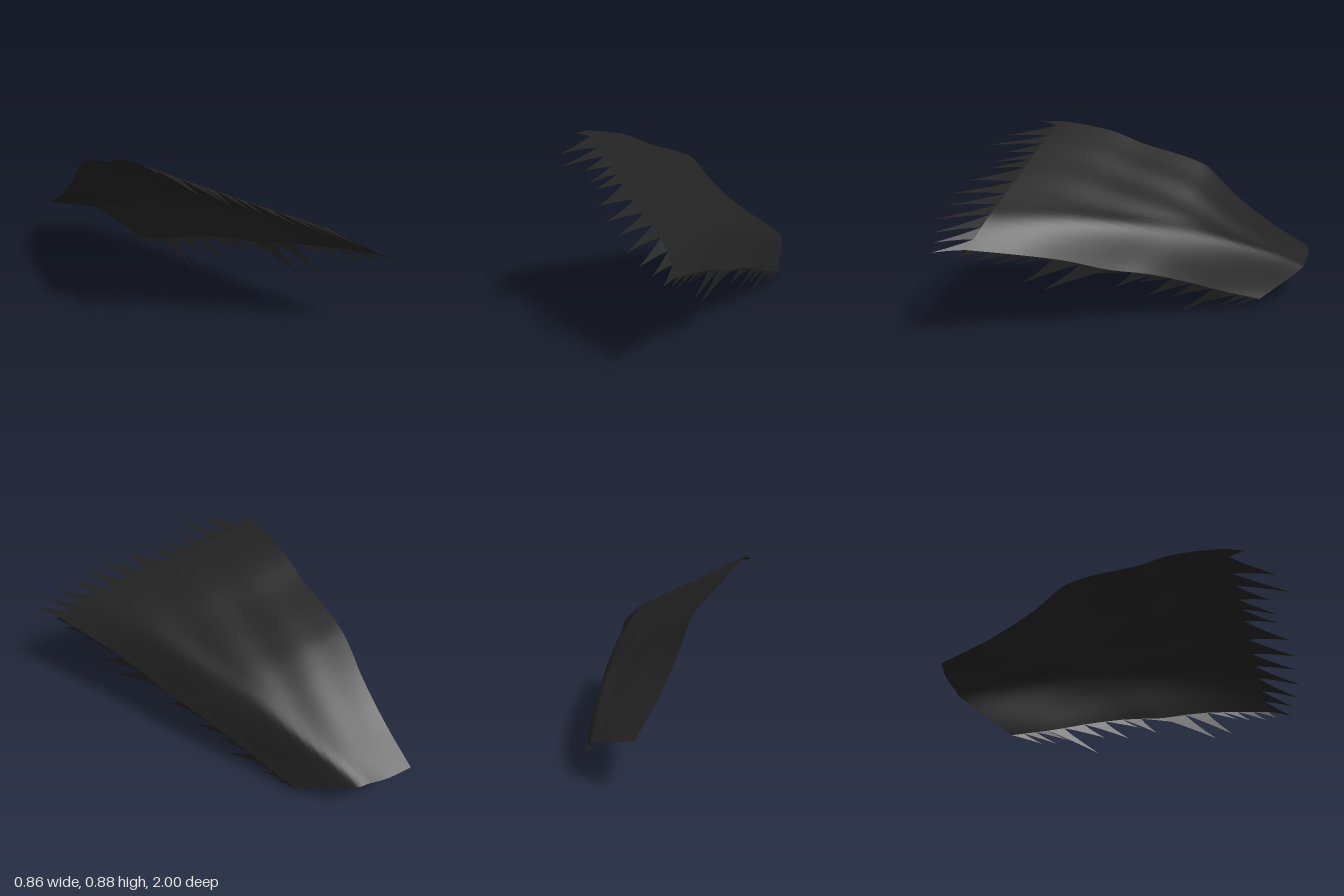
import * as THREE from 'three';

const curve = (pts) => new THREE.CatmullRomCurve3(pts.map((p) => new THREE.Vector3(...p)), false, 'centripetal');

// Lengthwise guide lines of the cloth, from the narrow end to the torn end
const upperHem = curve([[-0.12, 0.21, -1], [-0.168, 0.342, -0.797], [-0.212, 0.495, -0.613], [-0.231, 0.575, -0.54],
  [-0.245, 0.642, -0.47], [-0.275, 0.695, -0.35], [-0.32, 0.757, -0.155], [-0.36, 0.823, 0],
  [-0.40, 0.865, 0.18], [-0.42, 0.878, 0.27]]);
const fold = curve([[0.1, 0.16, -0.88], [0.13, 0.245, -0.7], [0.173, 0.342, -0.4], [0.22, 0.44, 0],
  [0.25, 0.495, 0.35], [0.28, 0.535, 0.74]]);
const lowerHem = curve([[0.21, 0.04, -0.6], [0.235, 0.1, -0.4], [0.265, 0.17, -0.2], [0.295, 0.23, 0],
  [0.315, 0.27, 0.2], [0.335, 0.33, 0.4], [0.37, 0.38, 0.62], [0.405, 0.425, 0.85]]);

// Cross-section of the cloth at t along its length
function section(t) {
  const a = upperHem.getPointAt(t), f = fold.getPointAt(t), d = lowerHem.getPointAt(t);
  const mid = a.clone().lerp(f, 0.5);
  mid.z -= 0.012 * (1 - t);
  const nearFold = a.clone().lerp(f, 0.85);
  return new THREE.CatmullRomCurve3([a, mid, nearFold, f, d], false, 'centripetal');
}

// Point of an edge where the given axis reaches a value, found by halving
function edgeAt(edge, axis, value) {
  let lo = 0, hi = 1;
  for (let i = 0; i < 24; i++) {
    const m = (lo + hi) / 2;
    if (edge.getPoint(m)[axis] < value) lo = m; else hi = m;
  }
  return edge.getPoint(lo);
}

function sheet(rows, material) {
  const w = rows[0].length, pos = [], index = [];
  rows.forEach((row) => row.forEach((p) => pos.push(p.x, p.y, p.z)));
  for (let i = 0; i < rows.length - 1; i++) {
    for (let j = 0; j < w - 1; j++) {
      const k = i * w + j;
      index.push(k, k + w, k + 1, k + 1, k + w, k + w + 1);
    }
  }
  const g = new THREE.BufferGeometry();
  g.setAttribute('position', new THREE.Float32BufferAttribute(pos, 3));
  g.setIndex(index);
  g.computeVertexNormals();
  return new THREE.Mesh(g, material);
}

// Tapering shred from edge points a, b to a tip, pinched towards the point
function shred(a, b, tip, material) {
  const base = a.clone().lerp(b, 0.5);
  const rows = [[0, 1], [0.3, 0.6], [0.65, 0.27], [1, 0.015]].map(([k, width]) => {
    const c = base.clone().lerp(tip, k);
    return [-0.5, 0.5].map((side) => c.clone().addScaledVector(b.clone().sub(a), side * width));
  });
  return sheet(rows, material);
}

// Row of shreds between notches along an edge, each with its own tip
function fringe(name, edge, axis, notches, tips, material) {
  const g = new THREE.Group();
  g.name = name;
  tips.forEach((tip, i) => g.add(shred(edgeAt(edge, axis, notches[i]), edgeAt(edge, axis, notches[i + 1]),
    new THREE.Vector3(...tip), material)));
  return g;
}

export function createModel() {
  const group = new THREE.Group();
  const black = new THREE.MeshStandardMaterial({ color: 0x222222, side: THREE.DoubleSide });
  black.name = 'black cloth';

  // Main cloth with faint ripples that vanish at the edges
  const rows = [];
  for (let i = 0; i <= 48; i++) {
    const t = i / 48, c = section(t), row = [];
    for (let j = 0; j <= 32; j++) {
      const s = j / 32, p = c.getPointAt(s);
      p.y += 0.004 * Math.sin(s * 22 + t * 5) * Math.sin(Math.PI * s) * Math.sin(Math.PI * t);
      row.push(p);
    }
    rows.push(row);
  }
  const cloth = sheet(rows, black);
  cloth.name = 'cloth';
  group.add(cloth);

  // Torn end
  group.add(fringe('endFringe', section(1), 'x',
    [-0.42, -0.38, -0.3, -0.24, -0.17, -0.12, -0.06, 0.04, 0.12, 0.19, 0.26, 0.32, 0.365, 0.405],
    [[-0.43, 0.88, 0.36], [-0.36, 0.82, 0.55], [-0.28, 0.785, 0.66], [-0.22, 0.755, 0.58],
      [-0.15, 0.72, 0.65], [-0.1, 0.7, 0.67], [-0.01, 0.66, 0.78], [0.08, 0.62, 0.86], [0.16, 0.58, 0.9],
      [0.24, 0.535, 0.96], [0.31, 0.49, 0.98], [0.37, 0.46, 0.98], [0.43, 0.43, 1]], black));

  // Torn lower hem, trailing forward and down
  group.add(fringe('hemFringe', lowerHem, 'z',
    [-0.6, -0.54, -0.48, -0.42, -0.34, -0.23, -0.12, -0.02, 0.08, 0.19, 0.33, 0.46, 0.56, 0.65, 0.75, 0.85],
    [[0.212, 0.015, -0.45], [0.225, 0.03, -0.38], [0.24, 0.06, -0.31], [0.222, 0.004, -0.165],
      [0.25, 0.1, -0.13], [0.27, 0.12, 0], [0.285, 0.19, 0.06], [0.3, 0.18, 0.16], [0.31, 0.255, 0.28],
      [0.325, 0.2, 0.5], [0.345, 0.245, 0.6], [0.355, 0.335, 0.64], [0.37, 0.345, 0.72], [0.395, 0.37, 0.83],
      [0.41, 0.4, 0.9]], black));
  return group;
}
